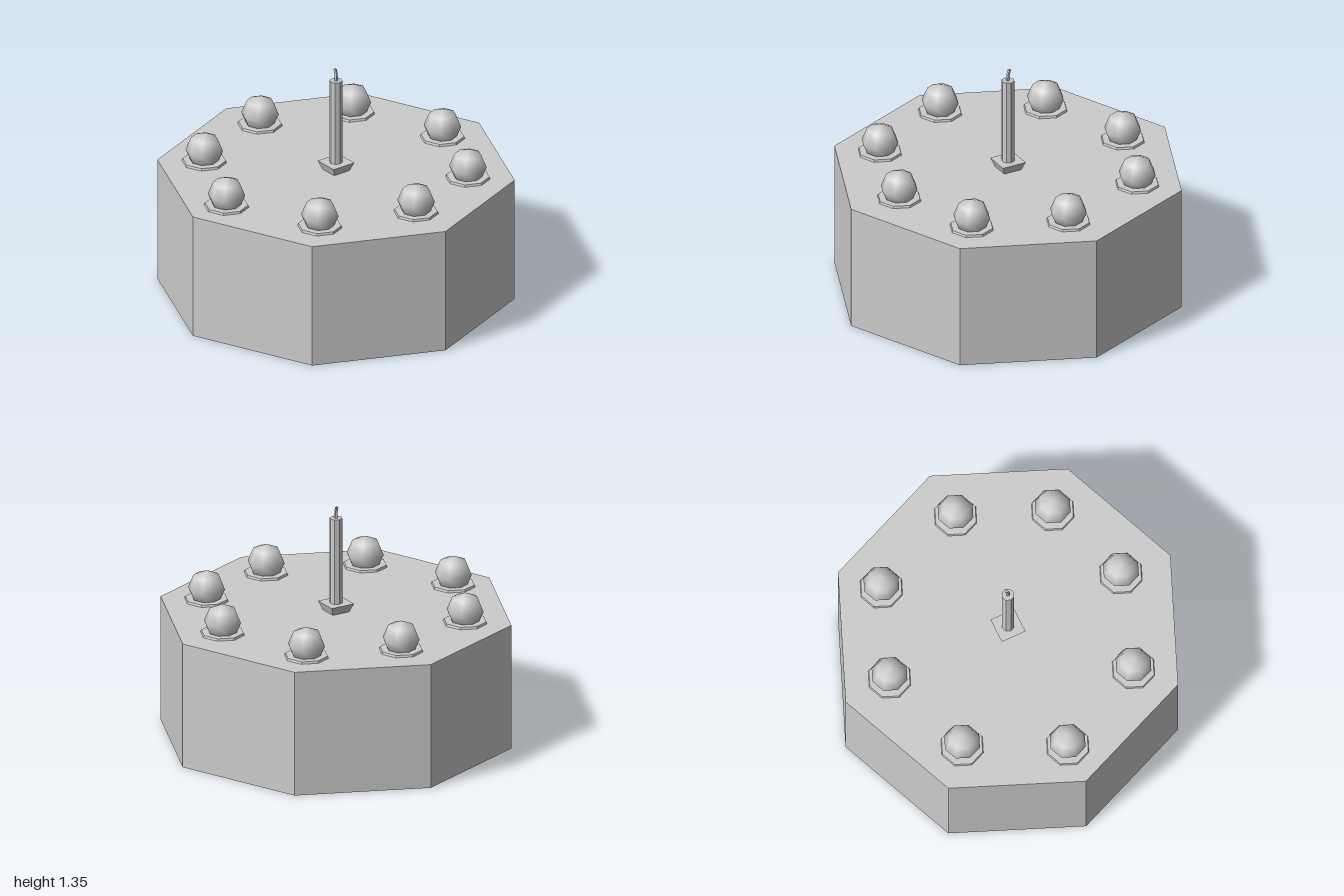
import * as THREE from 'three';

const TOP = 0.73;

function mat(flat) {
  return new THREE.MeshStandardMaterial({ color: 0xcccccc, flatShading: flat, side: THREE.DoubleSide });
}

function part(name, geometry, material, y = 0) {
  const mesh = new THREE.Mesh(geometry, material);
  mesh.name = name;
  mesh.position.y = y;
  return mesh;
}

export function createModel() {
  const model = new THREE.Group();
  model.name = 'cake';
  const flat = mat(true);
  const smooth = mat(false);

  // Octagonal cake body, open underneath
  model.add(part('cakeSide', new THREE.CylinderGeometry(1, 1, TOP, 8, 1, true), flat, TOP / 2));
  const lid = part('cakeTop', new THREE.CircleGeometry(1, 8), flat, TOP);
  lid.rotation.x = -Math.PI / 2;
  model.add(lid);

  // Ring of round toppings, each on a thin octagonal disc
  const ball = new THREE.SphereGeometry(0.105, 8, 4);
  const disc = new THREE.CylinderGeometry(0.121, 0.126, 0.015, 8);
  const spots = [
    [0, 0.765], [0.525, 0.515], [0.705, -0.02], [0.525, -0.52],
    [0.025, -0.725], [-0.53, -0.52], [-0.72, -0.02], [-0.53, 0.515],
  ];
  for (const [x, z] of spots) {
    const topping = new THREE.Group();
    topping.name = 'topping';
    topping.add(part('toppingDisc', disc, flat, 0.005));
    // The lower tip is squashed so it stays inside the disc
    topping.add(part('toppingBall', ball, smooth, 0.07));
    topping.position.set(x, TOP, z);
    model.add(topping);
  }
  const p = ball.attributes.position;
  for (let i = 0; i < p.count; i++) p.setY(i, Math.max(p.getY(i), -0.072));

  // Candle: square holder flaring upwards, stick and bent wick
  const candle = new THREE.Group();
  candle.name = 'candle';
  candle.position.y = TOP;
  const holder = part('candleHolder', new THREE.CylinderGeometry(0.103, 0.075, 0.05, 4), flat, 0.025);
  holder.rotation.y = Math.PI / 4;
  candle.add(holder);
  candle.add(part('candleStick', new THREE.CylinderGeometry(0.036, 0.036, 0.55, 8), flat, 0.275));
  const wickPath = new THREE.CatmullRomCurve3([
    new THREE.Vector3(0, 0.54, 0),
    new THREE.Vector3(0, 0.58, 0),
    new THREE.Vector3(-0.009, 0.615, 0),
  ]);
  candle.add(part('wick', new THREE.TubeGeometry(wickPath, 3, 0.01, 5), flat));
  const tip = part('wickTip', new THREE.CircleGeometry(0.01, 5), flat, 0.615);
  tip.position.x = -0.009;
  tip.rotation.x = -Math.PI / 2;
  candle.add(tip);
  model.add(candle);

  return model;
}
